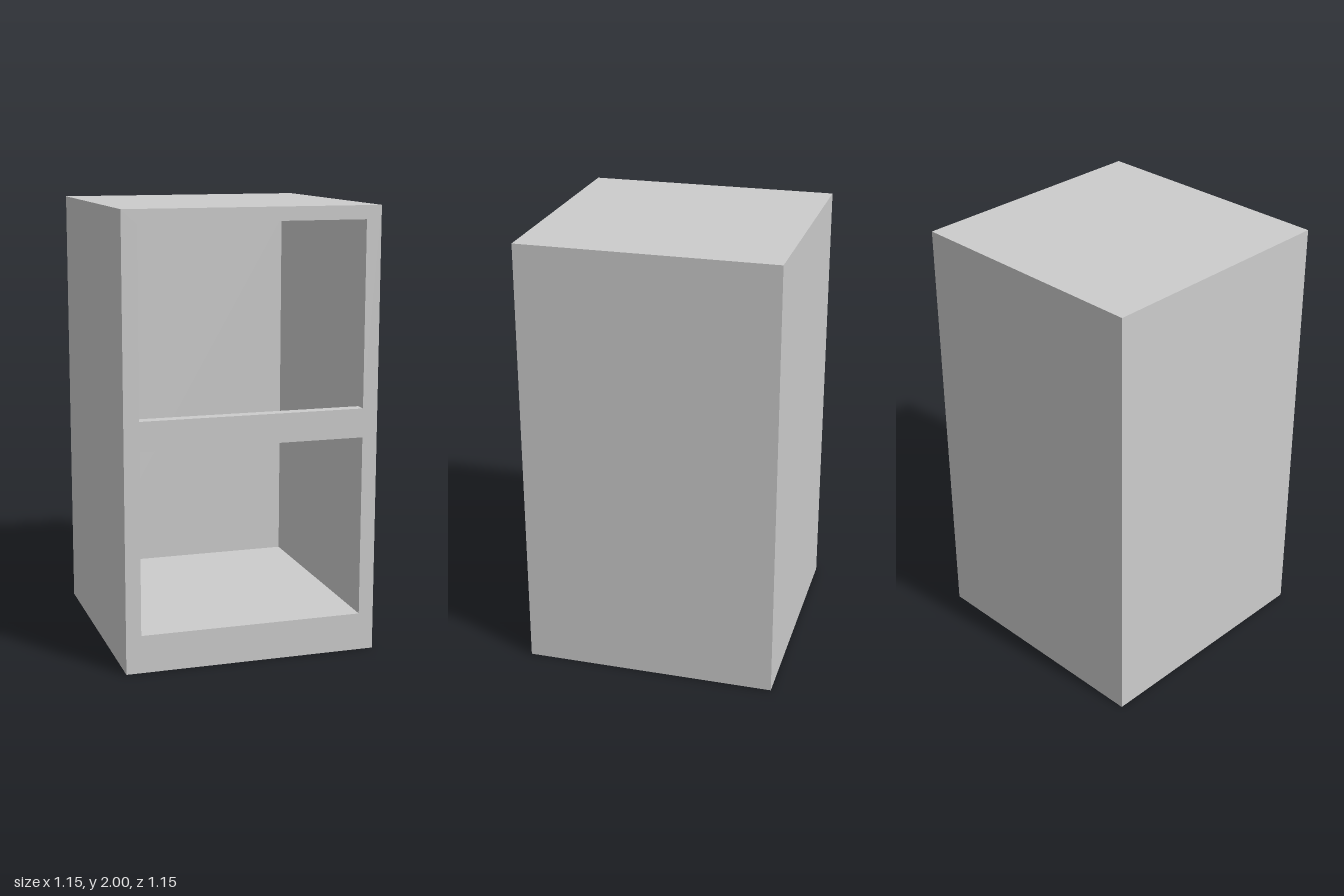
import * as THREE from 'three';

const HALF = 0.574;      // half of the outer width and depth
const HEIGHT = 2;
const INNER = 0.506;     // half of the opening width
const FLOOR = 0.17, CEILING = 1.94;
const RAIL_LOW = 0.985, RAIL_HIGH = 1.115;
const PANEL = 0.055;     // thickness of back panel and front frame

const rect = (target, x, y0, y1) =>
  target.moveTo(-x, y0).lineTo(x, y0).lineTo(x, y1).lineTo(-x, y1).closePath();

export function createModel() {
  const cabinet = new THREE.Group();
  cabinet.name = 'cabinet';
  const material = new THREE.MeshStandardMaterial({ color: 0xcccccc });

  // Upright slab of the cabinet outline, cut by openings given as [bottom, top]
  const addSlab = (name, z0, z1, openings) => {
    const shape = rect(new THREE.Shape(), HALF, 0, HEIGHT);
    for (const [y0, y1] of openings) {
      shape.holes.push(rect(new THREE.Path(), INNER, y0, y1));
    }
    const geometry = new THREE.ExtrudeGeometry(shape, { depth: z1 - z0, bevelEnabled: false });
    const mesh = new THREE.Mesh(geometry, material);
    mesh.name = name;
    mesh.position.z = z0;
    cabinet.add(mesh);
  };

  // Closed back
  addSlab('backPanel', -HALF, -HALF + PANEL, []);
  // Sides, top and base around one continuous cavity
  addSlab('shell', -HALF + PANEL, HALF - PANEL, [[FLOOR, CEILING]]);
  // Front frame whose middle rail divides two openings
  addSlab('frontFrame', HALF - PANEL, HALF, [[FLOOR, RAIL_LOW], [RAIL_HIGH, CEILING]]);

  return cabinet;
}
